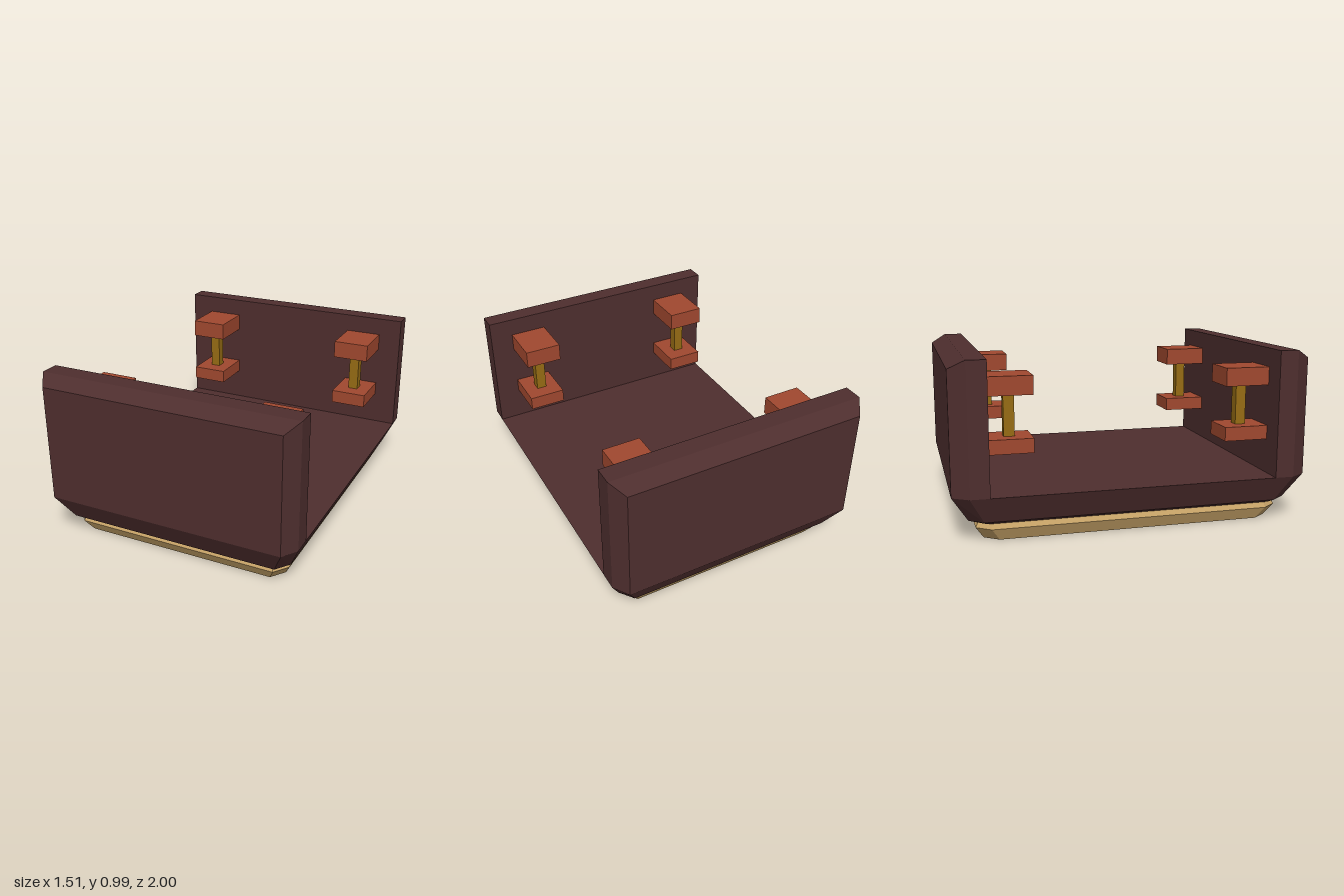
import * as THREE from 'three';
import { ConvexGeometry } from 'three/addons/geometries/ConvexGeometry.js';

const mat = (name, color) => {
  const m = new THREE.MeshStandardMaterial({ color });
  m.name = name;
  return m;
};

// Rectangle with cut corners at height y; cx, cz are the corner cut sizes
function ring(y, x, z, cx, cz) {
  const pts = [];
  for (const sx of [-1, 1]) for (const sz of [-1, 1]) {
    pts.push(new THREE.Vector3(sx * x, y, sz * (z - cz)));
    pts.push(new THREE.Vector3(sx * (x - cx), y, sz * z));
  }
  return pts;
}

export function createModel() {
  const brown = mat('dark brown', 0x4e2e2e);
  const tan = mat('tan', 0xc8a468);
  const rust = mat('rust', 0xa0482f);
  const ochre = mat('ochre', 0x966c14);

  const model = new THREE.Group();
  model.name = 'openTray';
  const add = (parent, name, geometry, material) => {
    const mesh = new THREE.Mesh(geometry, material);
    mesh.name = name;
    parent.add(mesh);
    return mesh;
  };

  // Tan plinth with bevelled rim
  add(model, 'plinth', new ConvexGeometry([
    ...ring(0, 0.625, 0.825, 0.06, 0.08),
    ...ring(0.07, 0.66, 0.87, 0.06, 0.08),
    ...ring(0.1, 0.645, 0.855, 0.055, 0.07),
  ]), tan);

  // Tray floor with sloping underside
  add(model, 'floor', new ConvexGeometry([
    ...ring(0.1, 0.65, 0.86, 0.05, 0.05),
    ...ring(0.12, 0.685, 0.91, 0.06, 0.08),
    ...ring(0.27, 0.755, 1, 0.06, 0.09),
  ]), brown);

  for (const sz of [1, -1]) {
    const end = sz > 0 ? 'front' : 'back';

    // End wall with bevelled outer top and corners
    const pts = [];
    for (const sx of [-1, 1]) {
      for (const [x, z, top] of [[0.755, 0.803, 0.99], [0.755, 0.91, 0.99], [0.695, 1, 0.94]]) {
        for (const y of [0.27, top]) pts.push(new THREE.Vector3(sx * x, y, sz * z));
      }
    }
    add(model, end + 'Wall', new ConvexGeometry(pts), brown);

    // Brackets: two blocks joined by a post, on the inside of the wall
    for (const sx of [1, -1]) {
      const bracket = new THREE.Group();
      bracket.name = end + (sx > 0 ? 'Left' : 'Right') + 'Bracket';
      bracket.position.set(sx * 0.509, 0, sz * 0.675);
      model.add(bracket);
      add(bracket, 'lowerBlock', new THREE.BoxGeometry(0.217, 0.08, 0.256), rust).position.y = 0.506;
      add(bracket, 'upperBlock', new THREE.BoxGeometry(0.217, 0.104, 0.256), rust).position.y = 0.832;
      add(bracket, 'post', new THREE.BoxGeometry(0.06, 0.236, 0.06), ochre).position.set(0, 0.663, -sz * 0.005);
    }
  }
  return model;
}
